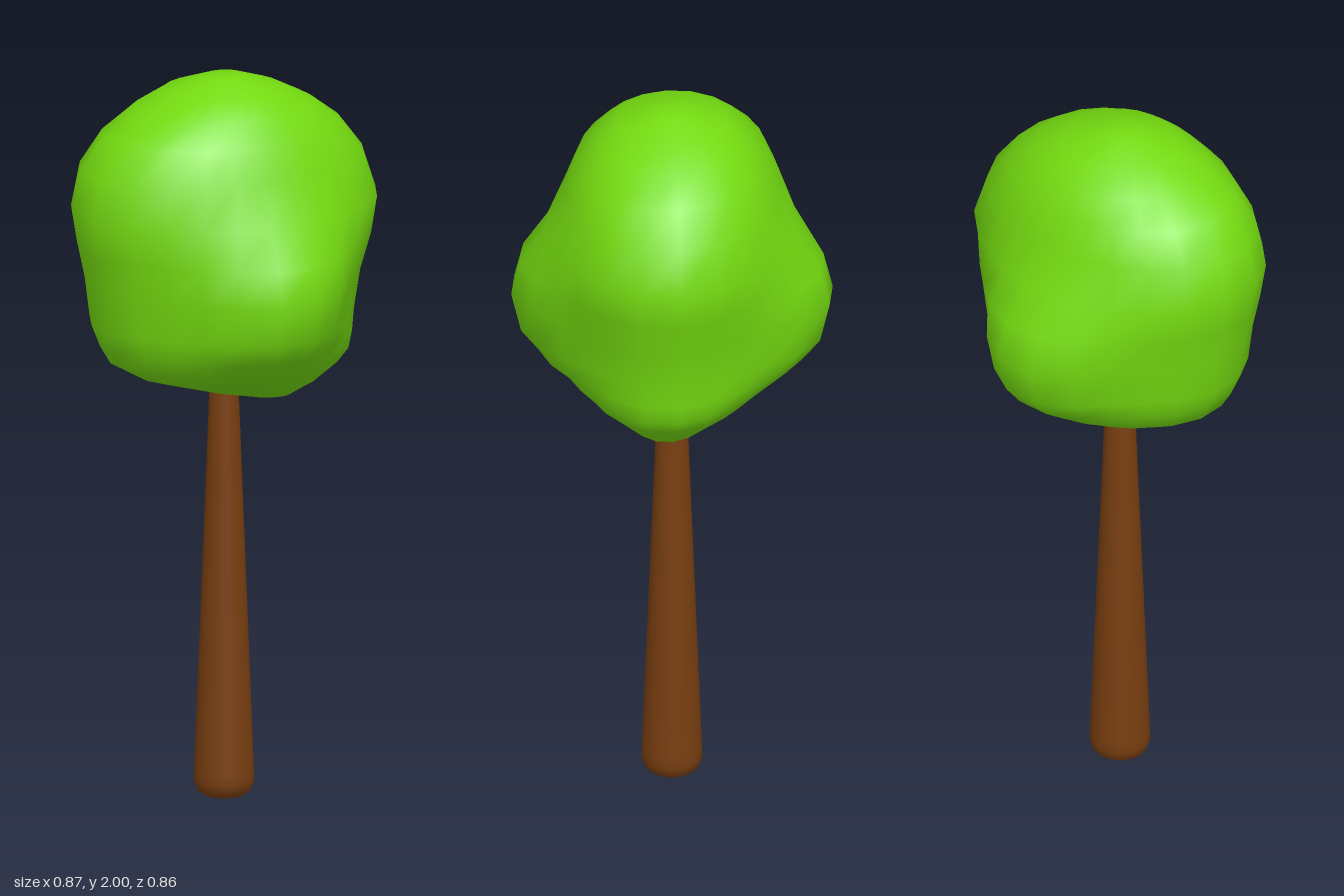
import * as THREE from 'three';

const leafGreen = new THREE.MeshStandardMaterial({ color: 0x74da10 });
leafGreen.name = 'leafGreen';
const barkBrown = new THREE.MeshStandardMaterial({ color: 0x783e10 });
barkBrown.name = 'barkBrown';

// Crown cross-sections: height, centre x, left and right x limits, half depth, pinch between lobes
const SECTIONS = [
  [1.10, 0.14, 0.07, 0.20, 0.06, 0],
  [1.13, 0.09, -0.06, 0.27, 0.11, 0],
  [1.19, 0.02, -0.26, 0.33, 0.23, 0.03],
  [1.23, 0.00, -0.33, 0.36, 0.29, 0.06],
  [1.28, 0.00, -0.36, 0.365, 0.36, 0.10],
  [1.34, 0.00, -0.385, 0.37, 0.41, 0.13],
  [1.45, 0.00, -0.40, 0.39, 0.437, 0.14],
  [1.55, 0.00, -0.42, 0.42, 0.41, 0.10],
  [1.65, 0.00, -0.44, 0.44, 0.34, 0.03],
  [1.77, 0.00, -0.42, 0.40, 0.29, 0],
  [1.86, 0.00, -0.35, 0.33, 0.255, 0],
  [1.92, 0.00, -0.26, 0.25, 0.205, 0],
  [1.965, 0.00, -0.17, 0.16, 0.15, 0],
  [2.00, 0.00, -0.055, 0.055, 0.05, 0],
];

function crownGeometry(sides = 24) {
  const positions = [], index = [];
  for (const [y, cx, left, right, depth, pinch] of SECTIONS) {
    for (let i = 0; i < sides; i++) {
      const a = ((i + 0.5) / sides) * Math.PI * 2;
      const c = Math.cos(a), s = Math.sin(a);
      const rx = c > 0 ? right - cx : cx - left;
      // elliptical radius, drawn in between the four lobes
      const r = (1 - pinch * Math.sin(2 * a) ** 2) / Math.hypot(c / rx, s / depth);
      positions.push(cx + r * c, y, r * s);
    }
  }
  const rings = SECTIONS.length;
  for (let j = 0; j < rings - 1; j++) {
    for (let i = 0; i < sides; i++) {
      const n = (i + 1) % sides;
      const a = j * sides + i, b = j * sides + n;
      index.push(a, a + sides, b, b, a + sides, b + sides);
    }
  }
  // close the bottom and the top
  const bottom = rings * sides, top = bottom + 1, last = (rings - 1) * sides;
  positions.push(0.14, 1.097, 0, 0, 2, 0);
  for (let i = 0; i < sides; i++) {
    const n = (i + 1) % sides;
    index.push(bottom, i, n, top, last + n, last + i);
  }
  const geometry = new THREE.BufferGeometry();
  geometry.setAttribute('position', new THREE.Float32BufferAttribute(positions, 3));
  geometry.setIndex(index);
  geometry.computeVertexNormals();
  return geometry;
}

// Tapered trunk with a rounded foot, its top hidden in the crown
function trunkGeometry() {
  const profile = [[0, 0], [0.055, 0.002], [0.072, 0.014], [0.082, 0.04], [0.081, 0.07], [0.04, 1.12], [0.036, 1.22], [0, 1.22]];
  return new THREE.LatheGeometry(profile.map(([r, y]) => new THREE.Vector2(r, y)), 20);
}

export function createModel() {
  const tree = new THREE.Group();
  tree.name = 'tree';
  const trunk = new THREE.Mesh(trunkGeometry(), barkBrown);
  trunk.name = 'trunk';
  const crown = new THREE.Mesh(crownGeometry(), leafGreen);
  crown.name = 'crown';
  tree.add(trunk, crown);
  return tree;
}
